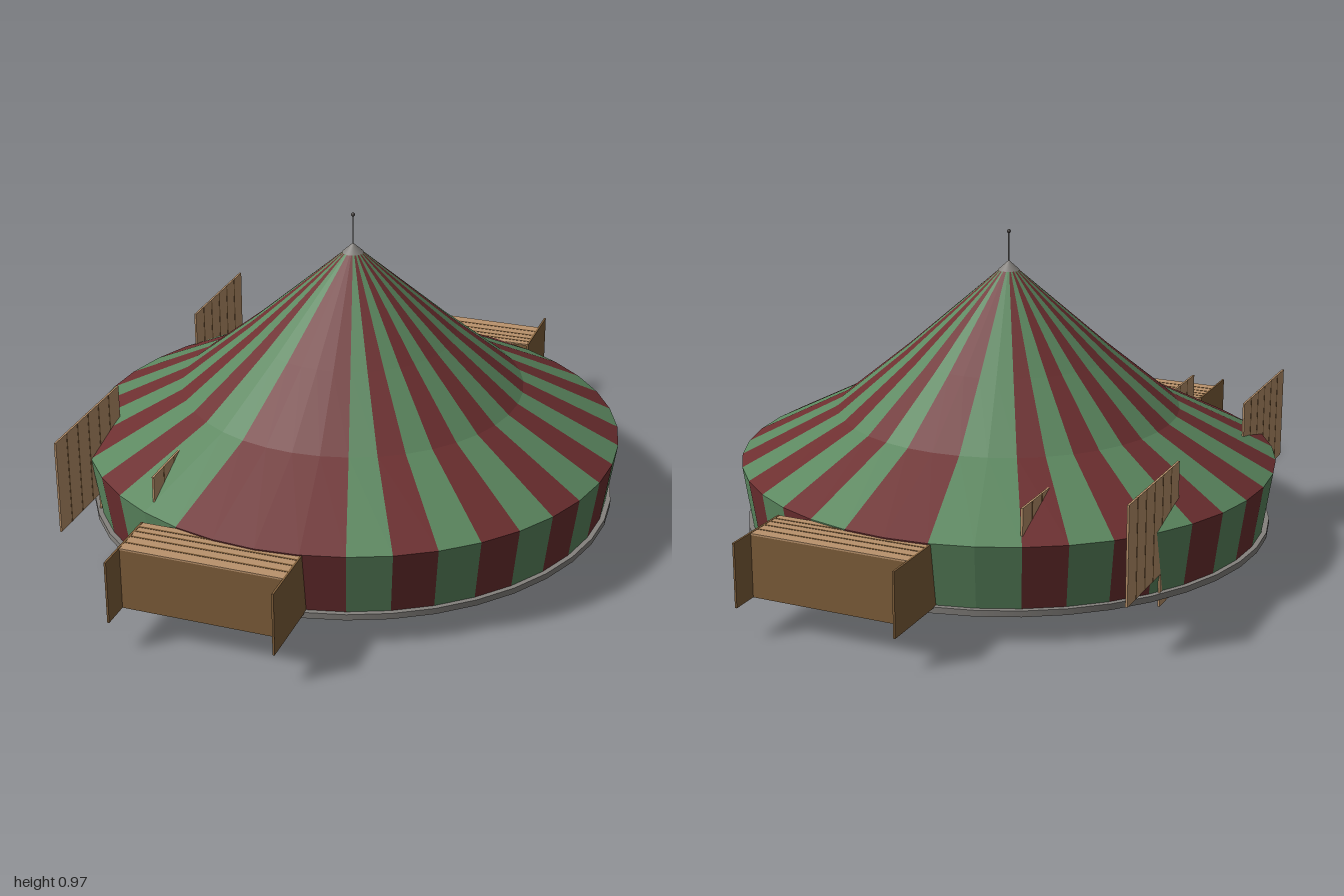
import * as THREE from 'three';
import { mergeGeometries } from 'three/addons/utils/BufferGeometryUtils.js';

const mat = (name, color, extra = {}) =>
  Object.assign(new THREE.MeshStandardMaterial({ color, ...extra }), { name });

const STRIPES = 40;

// Stripes alternate, with a wide red entrance panel at the front and a double one at the back
function isRed(k) {
  if ([9, 11, 29].includes(k)) return true;
  if ([12, 28].includes(k)) return false;
  return k % 2 === 0;
}

export function createModel() {
  const root = new THREE.Group();
  root.name = 'stripedTent';

  const red = mat('canvas red', 0x6d2f30, { flatShading: true });
  const green = mat('canvas green', 0x5c8860, { flatShading: true });
  const grey = mat('stone grey', 0x84817d);
  const tan = mat('plank tan', 0xba936c);
  const brown = mat('board brown', 0x805f3b);
  const iron = mat('finial iron', 0x4a4644);

  const add = (parent, name, geometry, material, x = 0, y = 0, z = 0) => {
    const mesh = new THREE.Mesh(geometry, material);
    mesh.name = name;
    mesh.position.set(x, y, z);
    parent.add(mesh);
    return mesh;
  };
  // Box given by its lowest and highest corners
  const slab = (parent, name, material, [x0, y0, z0], [x1, y1, z1]) =>
    add(parent, name, new THREE.BoxGeometry(x1 - x0, y1 - y0, z1 - z0), material,
      (x0 + x1) / 2, (y0 + y1) / 2, (z0 + z1) / 2);

  // Striped canvas: one narrow lathe wedge per stripe, merged by colour
  function stripedCanvas(name, profile) {
    const step = (Math.PI * 2) / STRIPES;
    const points = profile.map(([r, y]) => new THREE.Vector2(r, y));
    const wedges = { red: [], green: [] };
    for (let k = 0; k < STRIPES; k++) {
      const wedge = new THREE.LatheGeometry(points, 1, Math.PI / 2 - (k + 1) * step, step);
      wedges[isRed(k) ? 'red' : 'green'].push(wedge);
    }
    add(root, name + 'Red', mergeGeometries(wedges.red), red);
    add(root, name + 'Green', mergeGeometries(wedges.green), green);
  }
  stripedCanvas('wall', [[0.777, 0.095], [0.805, 0.283]]);
  stripedCanvas('roof', [[0.805, 0.283], [0.514, 0.433], [0.31, 0.6], [0, 0.872]]);

  // Base disc
  add(root, 'base', new THREE.CylinderGeometry(0.792, 0.792, 0.018, STRIPES), grey, 0, 0.087, 0);

  // Peak cap, pole and finial
  add(root, 'peakCap', new THREE.ConeGeometry(0.032, 0.029, STRIPES, 1, true), grey, 0, 0.8605, 0);
  add(root, 'pole', new THREE.CylinderGeometry(0.002, 0.002, 0.1, 8), grey, 0, 0.915, 0);
  add(root, 'finial', new THREE.SphereGeometry(0.006, 12, 8), iron, 0, 0.962, 0);

  // Entrance porch: brown side and front boards, tan floor and planked top
  function porch(name) {
    const group = new THREE.Group();
    group.name = name;
    const [x0, x1, y0, y1, z0, z1] = [-0.35, 0.13, 0.093, 0.28, 0.765, 0.917];
    for (const x of [x0, x1]) {
      slab(group, 'sideBoard', brown, [x - 0.003, y0, z0], [x + 0.003, y1, 1]);
    }
    slab(group, 'frontBoard', brown, [x0, y0, z1 - 0.006], [x1, y1 - 0.006, z1]);
    slab(group, 'floor', tan, [x0, y0, z0], [x1, y0 + 0.006, z1]);
    slab(group, 'top', tan, [x0, y1 - 0.006, z0], [x1, y1 - 0.001, z1]);
    for (const z of [0.79, 0.815, 0.845, 0.88]) {
      slab(group, 'topSeam', brown, [x0, y1 - 0.002, z - 0.003], [x1, y1, z + 0.003]);
    }
    root.add(group);
    return group;
  }
  porch('frontPorch');
  porch('backPorch').rotation.y = Math.PI;

  // Upright fence along z with a dark seam between planks
  function fence(name, x, y0, y1, z0, z1, count) {
    const group = new THREE.Group();
    group.name = name;
    slab(group, 'planks', tan, [x - 0.003, y0, z0], [x + 0.003, y1, z1]);
    for (let i = 1; i < count; i++) {
      const z = z0 + ((z1 - z0) * i) / count;
      slab(group, 'seam', brown, [x - 0.0036, y0, z - 0.003], [x + 0.0036, y1, z + 0.003]);
    }
    root.add(group);
  }
  // Two side fences: a low middle strip and a raised wing at each end
  for (const [x, y] of [[-0.65, 0.055], [-0.35, 0]]) {
    fence('lowFence', x, y, y + 0.095, -0.436, 0.432, 12);
    fence('frontWing', x, y + 0.095, y + 0.38, 0.28, 0.685, 6);
    fence('backWing', x, y + 0.095, y + 0.38, -0.685, -0.3, 6);
  }

  return root;
}
